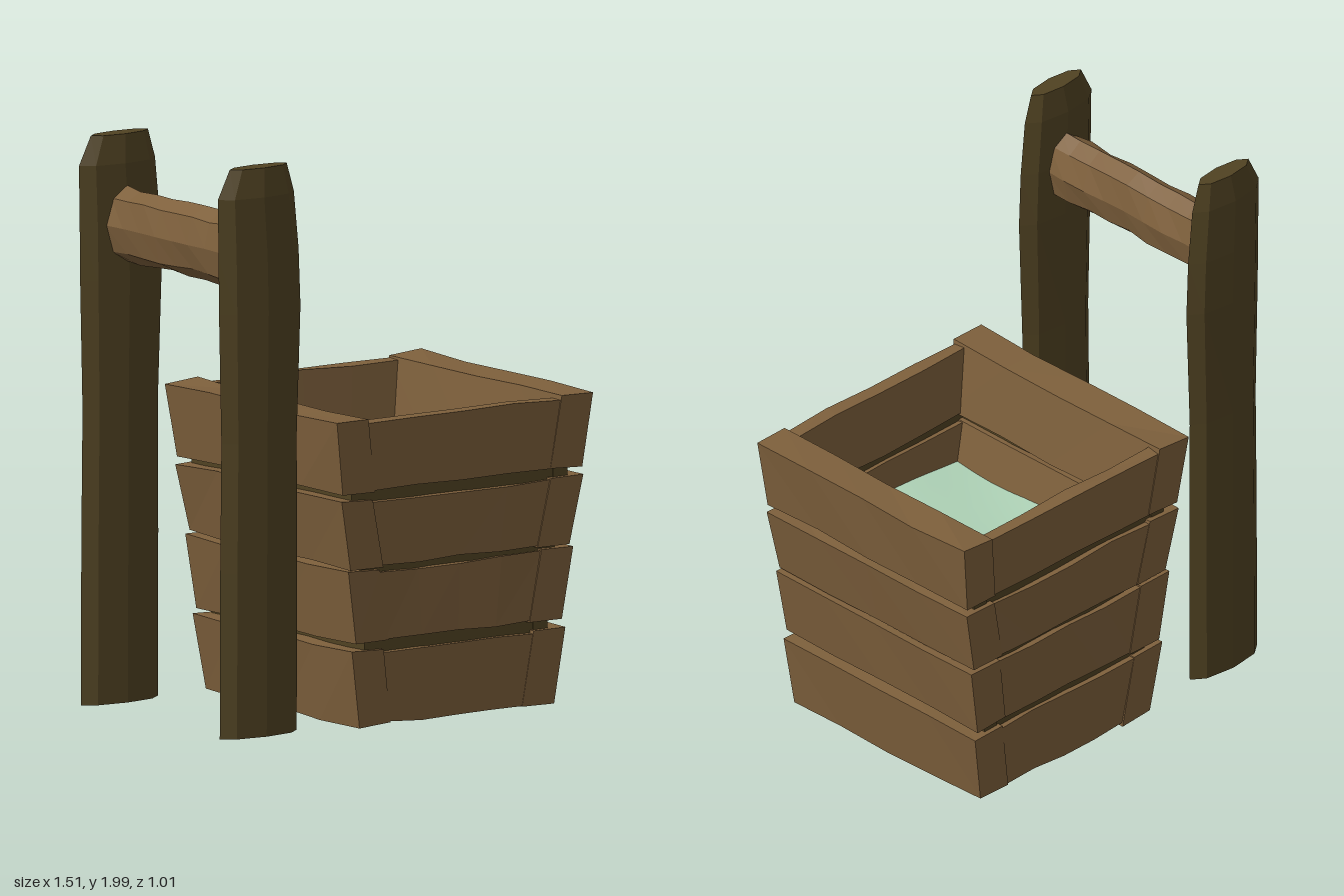
import * as THREE from 'three';

const CX = 0.21; // bucket centre in x

// small seeded wobble for hand-hewn wood
let seed = 7;
function wobble(amount) {
  seed = (seed * 16807) % 2147483647;
  return (seed / 2147483647 * 2 - 1) * amount;
}

// closed solid through equal-sized rings of points, faceted, always facing outwards
function loft(rings) {
  const n = rings[0].length;
  const tris = [];
  for (let i = 0; i < rings.length - 1; i++) {
    for (let j = 0; j < n; j++) {
      const k = (j + 1) % n;
      const a = rings[i][j], b = rings[i][k], c = rings[i + 1][k], d = rings[i + 1][j];
      tris.push([a, b, c], [a, c, d]);
    }
  }
  const first = rings[0], last = rings[rings.length - 1];
  for (let j = 1; j < n - 1; j++) {
    tris.push([first[0], first[j + 1], first[j]], [last[0], last[j], last[j + 1]]);
  }
  const cross = new THREE.Vector3();
  const volume = tris.reduce((s, [a, b, c]) => s + a.dot(cross.crossVectors(b, c)), 0);
  const points = tris.flatMap(([a, b, c]) => (volume < 0 ? [a, c, b] : [a, b, c]));
  const geometry = new THREE.BufferGeometry().setFromPoints(points);
  geometry.computeVertexNormals();
  return geometry;
}

function add(parent, name, geometry, material) {
  const mesh = new THREE.Mesh(geometry, material);
  mesh.name = name;
  parent.add(mesh);
  return mesh;
}

// leaning plank: section is four [offset, y, halfLength] corners, run along the plank
function plank(section, along, amount) {
  const rings = [];
  for (let i = 0; i <= 4; i++) {
    const t = i / 2 - 1;
    rings.push(section.map(([off, y, half]) => {
      const o = off + wobble(amount * 0.5), h = y + wobble(amount);
      return along === 'z'
        ? new THREE.Vector3(CX + o, h, t * half)
        : new THREE.Vector3(CX + t * half, h, o);
    }));
  }
  return loft(rings);
}

// square course of four planks; b/t are bottom/top half sizes
function course(name, y0, y1, [bx, bz], [tx, tz], thickX, thickZ, material, amount) {
  const group = new THREE.Group();
  group.name = name;
  for (const s of [1, -1]) {
    add(group, s > 0 ? 'leftPlank' : 'rightPlank', plank([
      [s * bx, y0, bz], [s * tx, y1, tz],
      [s * (tx - thickX), y1, tz], [s * (bx - thickX), y0, bz],
    ], 'z', amount), material);
    const e = 0.004; // end planks sit just inside the side planks
    const inBottom = bx - thickX + 0.01, inTop = tx - thickX + 0.01;
    add(group, s > 0 ? 'frontPlank' : 'backPlank', plank([
      [s * (bz - e), y0 + e, inBottom], [s * (tz - e), y1 - 0.01, inTop],
      [s * (tz - thickZ), y1 - 0.01, inTop], [s * (bz - thickZ), y0 + e, inBottom],
    ], 'x', amount), material);
  }
  return group;
}

export function createModel() {
  seed = 7;
  const wood = new THREE.MeshStandardMaterial({ color: 0x7e603c });
  wood.name = 'plankBrown';
  const dark = new THREE.MeshStandardMaterial({ color: 0x504222 });
  dark.name = 'darkTimber';
  const waterColor = new THREE.MeshStandardMaterial({ color: 0xb0d4b8 });
  waterColor.name = 'paleGreenWater';

  const model = new THREE.Group();
  model.name = 'waterTrough';

  // tapering bucket of four plank courses
  const bucket = new THREE.Group();
  bucket.name = 'bucket';
  model.add(bucket);
  const tiers = [
    [0.015, 0.28, [0.41, 0.45], [0.45, 0.466]],
    [0.305, 0.56, [0.435, 0.466], [0.475, 0.476]],
    [0.568, 0.81, [0.46, 0.474], [0.51, 0.486]],
    [0.835, 1.09, [0.505, 0.486], [0.54, 0.503]],
  ];
  tiers.forEach(([y0, y1, b, t], i) => {
    bucket.add(course('course' + (i + 1), y0, y1, b, t, 0.135, 0.055, wood, 0.006));
    if (i === 0) return;
    // dark batten filling the gap under this course
    const size = [b[0] - 0.05, b[1] - 0.018];
    bucket.add(course('batten' + i, y0 - 0.06, y0 + 0.03, size, size, 0.06, 0.02, dark, 0));
  });

  // floor, slightly recessed
  const floor = add(bucket, 'floor', new THREE.BoxGeometry(0.62, 0.03, 0.84), dark);
  floor.position.set(CX, 0.045, 0);

  // gently rippled water
  const ripple = new THREE.PlaneGeometry(0.74, 0.89, 10, 10).rotateX(-Math.PI / 2);
  const p = ripple.attributes.position;
  for (let i = 0; i < p.count; i++) {
    p.setY(i, 0.012 * Math.sin(p.getX(i) * 7 + p.getZ(i) * 4) + 0.006 * Math.cos(p.getZ(i) * 12));
  }
  ripple.computeVertexNormals();
  add(bucket, 'water', ripple, waterColor).position.set(CX, 0.67, 0);

  // two flat posts with chamfered tops: [y, xMin, xMax, half depth]
  const postRings = [
    [0.025, -0.752, -0.428, 0.05], [0.6, -0.75, -0.426, 0.05], [1.05, -0.745, -0.428, 0.05],
    [1.5, -0.755, -0.412, 0.053], [1.7, -0.757, -0.42, 0.053], [1.9, -0.76, -0.44, 0.05],
    [2.0, -0.71, -0.47, 0.036],
  ];
  for (const s of [1, -1]) {
    const rings = postRings.map(([y, x0, x1, d]) => {
      const ring = [];
      for (let j = 0; j < 8; j++) {
        const a = j * Math.PI / 4;
        ring.push(new THREE.Vector3(
          (x0 + x1) / 2 + Math.cos(a) * (x1 - x0) / 2, y,
          (s > 0 ? 0.402 : -0.412) + Math.sin(a) * d));
      }
      return ring;
    });
    add(model, s > 0 ? 'frontPost' : 'backPost', loft(rings), dark);
  }

  // rough crossbeam between the posts
  const beam = [];
  for (let i = 0; i <= 8; i++) {
    const ring = [];
    for (let j = 0; j < 8; j++) {
      const a = j * Math.PI / 4, r = 1 + wobble(0.07);
      ring.push(new THREE.Vector3(
        -0.592 + Math.cos(a) * 0.077 * r, 1.69 + Math.sin(a) * 0.13 * r, -0.38 + i * 0.095));
    }
    beam.push(ring);
  }
  add(model, 'crossbeam', loft(beam), wood);

  return model;
}
